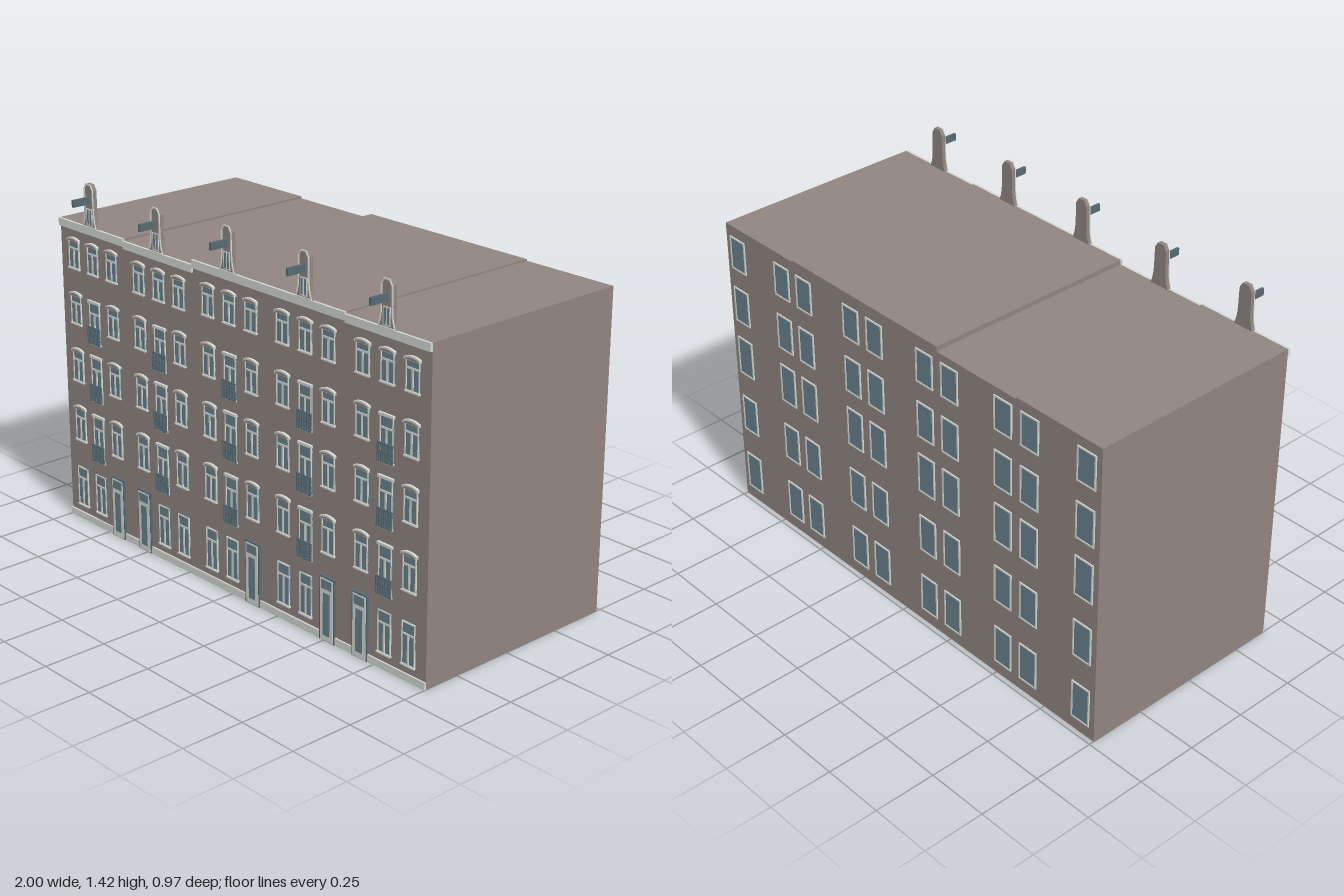
import * as THREE from 'three';

const mat = (name, color) => Object.assign(new THREE.MeshStandardMaterial({ color }), { name });
const wall = mat('brick', 0x90847f);
const white = mat('whiteTrim', 0xd3d8d3);
const glass = mat('glass', 0x69818b);
const iron = mat('slateIron', 0x566a72);

const FRONT = 0.4, BACK = -0.48;

function box(parent, name, m, w, h, d, x, y, z) {
  const mesh = new THREE.Mesh(new THREE.BoxGeometry(w, h, d), m);
  mesh.name = name;
  mesh.position.set(x, y, z);
  parent.add(mesh);
  return mesh;
}

function extrude(parent, name, m, shape, depth, x, y, z) {
  const geo = new THREE.ExtrudeGeometry(shape, { depth, bevelEnabled: false, curveSegments: 6 });
  const mesh = new THREE.Mesh(geo, m);
  mesh.name = name;
  mesh.position.set(x, y, z);
  parent.add(mesh);
  return mesh;
}

function group(parent, name, x, y, z) {
  const g = new THREE.Group();
  g.name = name;
  g.position.set(x, y, z);
  parent.add(g);
  return g;
}

// Rectangular border, origin at bottom centre
function border(w, h, t) {
  const rect = (P, a, b, c, d) =>
    new P([[a, b], [c, b], [c, d], [a, d]].map(p => new THREE.Vector2(...p)));
  const s = rect(THREE.Shape, -w / 2, 0, w / 2, h);
  s.holes.push(rect(THREE.Path, -w / 2 + t, t, w / 2 - t, h - t));
  return s;
}

// Low segmental arch, flat underneath
function archShape(w, side, rise) {
  const s = new THREE.Shape();
  s.moveTo(-w / 2, 0);
  s.lineTo(w / 2, 0);
  s.lineTo(w / 2, side);
  s.quadraticCurveTo(0, side + rise * 2, -w / 2, side);
  s.closePath();
  return s;
}

// Front sash window with T-shaped glazing bars
function sashWindow(parent, x, y, h, arched) {
  const g = group(parent, 'frontWindow', x, y, FRONT), w = 0.064;
  box(g, 'pane', glass, w, h, 0.004, 0, h / 2, 0.001);
  extrude(g, 'windowFrame', white, border(w, h, 0.004), 0.006, 0, 0, 0);
  box(g, 'mullion', white, 0.008, h * 0.72, 0.006, 0, h * 0.36, 0.003);
  box(g, 'transom', white, w, 0.007, 0.006, 0, h * 0.72, 0.003);
  box(g, 'sill', white, w + 0.004, 0.006, 0.01, 0, 0, 0.005);
  if (arched) {
    extrude(g, 'archTrim', white, archShape(w + 0.01, 0.009, 0.008), 0.01, 0, h - 0.004, 0);
    extrude(g, 'archBrick', wall, archShape(w - 0.004, 0.004, 0.005), 0.012, 0, h - 0.002, 0);
  }
  return g;
}

// Tall window with a shallow railing across its foot
function balconyWindow(parent, x, y, h) {
  const g = sashWindow(parent, x, y, h, false);
  g.name = 'balconyWindow';
  box(g, 'lintel', white, 0.072, 0.01, 0.01, 0, h, 0.005);
  const rail = group(g, 'railing', 0, 0, 0.008);
  for (const ry of [0.003, 0.035, 0.067]) box(rail, 'rail', iron, 0.074, 0.004, 0.006, 0, ry, 0.003);
  for (let i = 0; i < 9; i++) box(rail, 'baluster', iron, 0.0035, 0.07, 0.005, -0.035 + i * 0.00875, 0.035, 0.003);
}

// Entrance door with glazed leaf and fanlight
function door(parent, x) {
  const g = group(parent, 'frontDoor', x, 0, FRONT);
  box(g, 'doorSurround', iron, 0.076, 0.25, 0.01, 0, 0.125, 0.005);
  box(g, 'doorFrame', white, 0.066, 0.242, 0.004, 0, 0.123, 0.0095);
  box(g, 'doorGlass', glass, 0.034, 0.165, 0.003, 0, 0.106, 0.011);
  box(g, 'fanlight', glass, 0.052, 0.034, 0.003, 0, 0.221, 0.011);
}

// Outline of the hoisting gable: flared foot, straight neck, clipped top
function gableOutline(P, s, y0, y1) {
  const p = new P();
  p.moveTo(-0.042 + s, y0);
  p.lineTo(0.042 - s, y0);
  p.quadraticCurveTo(0.029 - s, 0.025, 0.028 - s, 0.075);
  p.lineTo(0.027 - s, 0.148);
  p.lineTo(0.014 - s / 2, y1);
  p.lineTo(-0.014 + s / 2, y1);
  p.lineTo(-0.027 + s, 0.148);
  p.lineTo(-0.028 + s, 0.075);
  p.quadraticCurveTo(-0.029 + s, 0.025, -0.042 + s, y0);
  return p;
}

function gable(parent, x, y) {
  const g = group(parent, 'hoistGable', x, y, FRONT);
  extrude(g, 'gableWall', wall, gableOutline(THREE.Shape, 0, 0, 0.17), 0.016, 0, 0, -0.007);
  const rim = gableOutline(THREE.Shape, 0, 0, 0.17);
  rim.holes.push(gableOutline(THREE.Path, 0.005, 0.004, 0.165));
  extrude(g, 'gableRim', white, rim, 0.004, 0, 0, 0.009);
  box(g, 'gablePane', glass, 0.03, 0.062, 0.003, 0, 0.041, 0.01);
  extrude(g, 'gableWindowFrame', white, border(0.034, 0.066, 0.004), 0.003, 0, 0.008, 0.009);
  box(g, 'gableMullion', white, 0.005, 0.06, 0.003, 0, 0.04, 0.0105);
  box(g, 'hoistBeam', iron, 0.01, 0.028, 0.08, 0, 0.107, 0.045);
}

// Rear window
function rearWindow(parent, x, y, h) {
  const g = group(parent, 'rearWindow', x, y, BACK);
  box(g, 'rearPane', glass, 0.08, h - 0.006, 0.003, 0, h / 2, -0.001);
  extrude(g, 'rearFrame', white, border(0.088, h, 0.006), 0.005, 0, 0, -0.005);
}

export function createModel() {
  const model = new THREE.Group();
  model.name = 'terraceOfHouses';

  // height, side of the door, top-floor shift
  const houses = [
    [1.235, 1, 0], [1.227, -1, -0.006], [1.246, 1, 0.005], [1.246, 1, 0.005], [1.24, -1, 0.002],
  ];
  // sill and height of ordinary windows, sill and height of balcony windows
  const floors = [
    [0.338, 0.135, 0.282, 0.188], [0.587, 0.125, 0.533, 0.182], [0.824, 0.118, 0.77, 0.168],
  ];

  houses.forEach(([top, doorSide, shift], i) => {
    const cx = -0.8 + i * 0.4;
    const house = group(model, 'house' + (i + 1), 0, 0, 0);
    box(house, 'houseBody', wall, 0.4, top, FRONT - BACK, cx, top / 2, (FRONT + BACK) / 2);
    box(house, 'cornice', white, 0.4, 0.03, 0.01, cx, top - 0.015, FRONT + 0.005);
    box(house, 'plinth', white, 0.4, 0.028, 0.008, cx, 0.014, FRONT + 0.003);
    gable(house, cx, top);

    for (const side of [-1, 0, 1]) {
      const x = cx + side * 0.117;
      if (side === doorSide) door(house, x);
      else sashWindow(house, x, 0.06, 0.162, false);
      for (const [y, h, by, bh] of floors) {
        if (side === 0) balconyWindow(house, x, by, bh);
        else sashWindow(house, x, y, h, true);
      }
      sashWindow(house, x, 1.048 + shift, 0.112, true);
    }
  });

  // Rear windows in mirrored columns
  const rows = [[0.052, 0.162], [0.328, 0.158], [0.592, 0.165], [0.828, 0.15], [1.058, 0.138]];
  for (const x of [0.135, 0.265, 0.535, 0.665, 0.932])
    for (const s of [-1, 1])
      for (const [y, h] of rows) rearWindow(model, s * x, y, h);

  return model;
}
